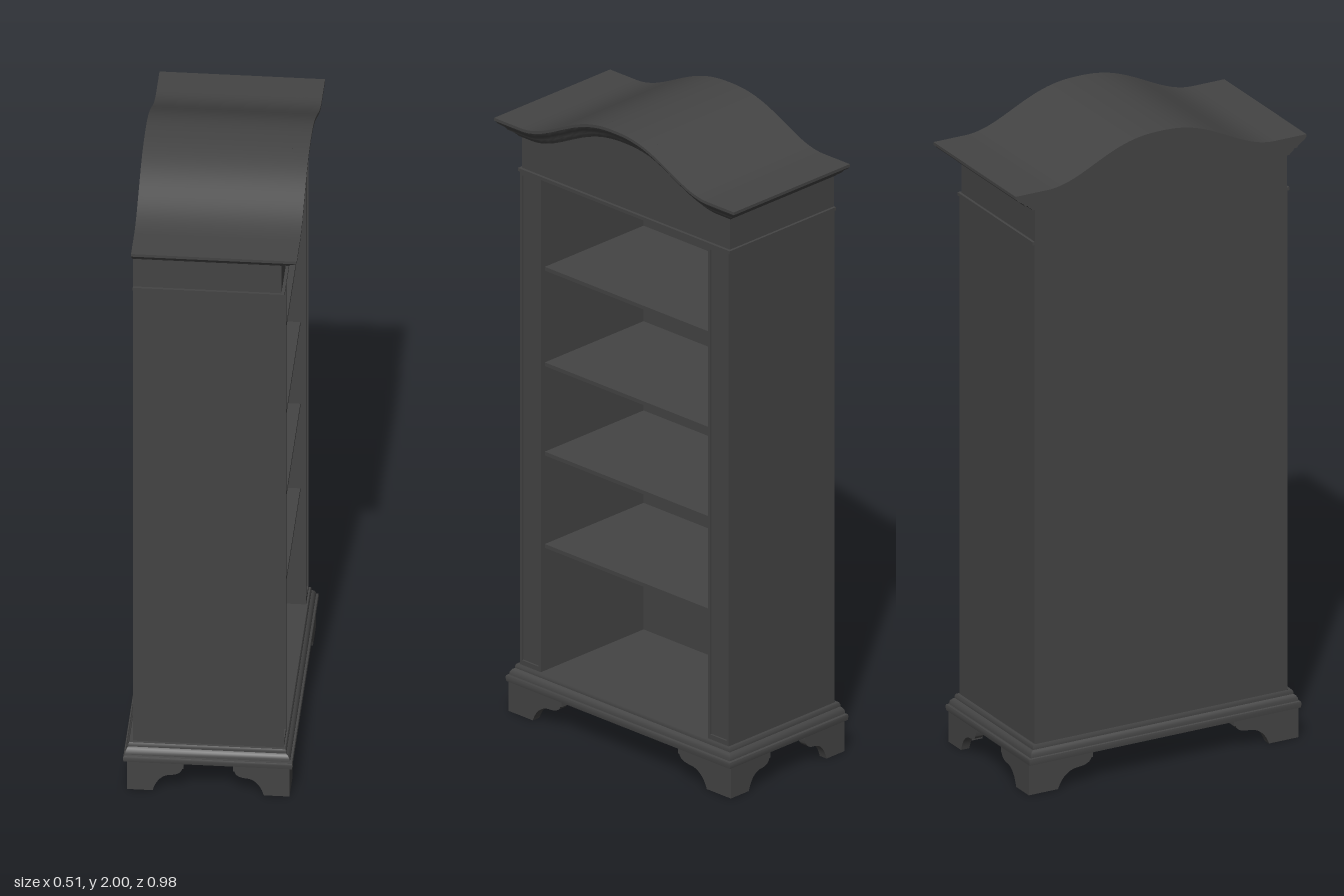
import * as THREE from 'three';
import { toCreasedNormals } from 'three/addons/utils/BufferGeometryUtils.js';

const BACK = -0.23, FRONT = 0.212, HALF = 0.425, OPEN = 0.34;
const FLOOR = 0.152, CEILING = 1.73, FRIEZE = 0.205;

export function createModel() {
  const model = new THREE.Group();
  const material = new THREE.MeshStandardMaterial({ color: 0x444444 });

  function add(name, geometry, parent = model) {
    const mesh = new THREE.Mesh(geometry, material);
    mesh.name = name;
    parent.add(mesh);
    return mesh;
  }

  // Box given by its limits on each axis
  function box(name, x0, x1, y0, y1, z0, z1, parent) {
    const g = new THREE.BoxGeometry(x1 - x0, y1 - y0, z1 - z0);
    g.translate((x0 + x1) / 2, (y0 + y1) / 2, (z0 + z1) / 2);
    return add(name, g, parent);
  }

  // Skin over a row of cross-sections, each an array of [x, y, z]
  function sweep(name, rows) {
    const pos = [];
    for (let i = 0; i < rows.length - 1; i++) {
      for (let j = 0; j < rows[i].length - 1; j++) {
        const a = rows[i][j], b = rows[i][j + 1], c = rows[i + 1][j], d = rows[i + 1][j + 1];
        pos.push(...a, ...b, ...c, ...b, ...d, ...c);
      }
    }
    const g = new THREE.BufferGeometry();
    g.setAttribute('position', new THREE.Float32BufferAttribute(pos, 3));
    g.computeVertexNormals();
    return add(name, toCreasedNormals(g, 0.5));
  }

  // Height of the arched top across the width
  function arch(z) {
    const t = Math.min(Math.abs(z) / 0.38, 1) ** 1.2;
    return 1.89 + 0.055 * (1 + Math.cos(Math.PI * t));
  }

  // Slab following the arch, from x0 to x1, with a given underside
  function archSlab(name, half, under, x0, x1) {
    const n = 64, top = [], bottom = [];
    for (let i = 0; i <= n; i++) {
      const z = half * (1 - 2 * i / n);
      top.push(new THREE.Vector2(z, arch(z)));
      bottom.unshift(new THREE.Vector2(z, under(z)));
    }
    const g = new THREE.ExtrudeGeometry(new THREE.Shape([...top, ...bottom]),
      { depth: x1 - x0, bevelEnabled: false });
    g.rotateY(Math.PI / 2).translate(x0, 0, 0);
    return add(name, toCreasedNormals(g, 0.5));
  }

  // Carcass
  box('backPanel', BACK, BACK + 0.012, FLOOR, CEILING, -OPEN, OPEN);
  box('floor', BACK, 0.208, 0.097, FLOOR, -HALF, HALF);
  for (const s of [1, -1]) {
    const side = new THREE.Group();
    side.name = s > 0 ? 'leftSide' : 'rightSide';
    model.add(side);
    const strip = (name, x0, x1, y0, y1, a, b) =>
      box(name, x0, x1, y0, y1, Math.min(s * a, s * b), Math.max(s * a, s * b), side);
    strip('sidePanel', BACK, FRONT - 0.006, FLOOR, CEILING, OPEN, HALF);
    // Raised border round the sunk panel of the stile
    const x0 = FRONT - 0.006, rim = 0.009;
    strip('stileRim', x0, FRONT, FLOOR, CEILING, OPEN, OPEN + rim);
    strip('stileRim', x0, FRONT, FLOOR, CEILING, HALF - rim, HALF);
    strip('stileRim', x0, FRONT, FLOOR, FLOOR + 0.015, OPEN + rim, HALF - rim);
    strip('stileRim', x0, FRONT, CEILING - 0.015, CEILING, OPEN + rim, HALF - rim);
  }

  // Shelves
  for (const y of [0.55, 0.845, 1.13, 1.435]) {
    box('shelf', BACK + 0.012, FRONT - 0.017, y - 0.006, y + 0.006, -OPEN, OPEN);
  }

  // Frieze with its bead, and the arched lid
  box('friezeBead', BACK, 0.214, CEILING - 0.005, CEILING + 0.005, -0.431, 0.431);
  archSlab('frieze', 0.423, () => CEILING, BACK, FRIEZE);
  archSlab('lid', 0.488, z => arch(z) - 0.009, BACK, 0.255);

  // Crown moulding: [outset, drop] swept along both sides and the arched front
  const crown = [[0.049, 0.008], [0.045, 0.016], [0.036, 0.023], [0.029, 0.03],
    [0.026, 0.036], [0.019, 0.036], [0.016, 0.043], [0.009, 0.049], [0.006, 0.054], [0, 0.054]];
  const reach = o => 0.423 + o * 1.3;
  const end = (s, k) => crown.map(([o, d]) => [BACK, arch(0.5) - d, s * reach(o * k)]);
  const rows = [end(1, 0), end(1, 1)];
  for (let i = 0; i <= 64; i++) {
    rows.push(crown.map(([o, d]) => {
      const z = reach(o) * (1 - i / 32);
      return [FRIEZE + o, arch(z) - d, z];
    }));
  }
  rows.push(end(-1, 1), end(-1, 0));
  sweep('crownMoulding', rows);

  // Base moulding: [outset, height] swept round all four sides
  const base = [[0, 0.152], [0.009, 0.152], [0.012, 0.146], [0.012, 0.139], [0.018, 0.135],
    [0.023, 0.127], [0.024, 0.118], [0.03, 0.116], [0.032, 0.11], [0.03, 0.097], [0, 0.097]];
  const corners = [[-1, 1], [1, 1], [1, -1], [-1, -1], [-1, 1]];
  sweep('baseMoulding', corners.map(([sx, sz]) => base.map(([o, y]) =>
    [sx > 0 ? 0.208 + o : BACK - 0.004 - o * 0.7, y, sz * (HALF + o)])));

  // Bracket feet: two shaped boards meeting at each corner
  function bracket(length) {
    const k = length / 0.215, shape = new THREE.Shape();
    shape.moveTo(0, 0);
    shape.lineTo(0.098 * k, 0);
    shape.bezierCurveTo(0.11 * k, 0.035, 0.135 * k, 0.055, 0.165 * k, 0.056);
    shape.quadraticCurveTo(0.205 * k, 0.058, 0.21 * k, 0.078);
    shape.lineTo(0.215 * k, 0.078);
    shape.lineTo(0.215 * k, 0.098);
    shape.lineTo(0, 0.098);
    return new THREE.ExtrudeGeometry(shape, { depth: 0.028, bevelEnabled: false, curveSegments: 10 });
  }
  const alongX = toCreasedNormals(bracket(0.165), 0.5);
  const alongZ = toCreasedNormals(bracket(0.215).rotateY(-Math.PI / 2).translate(0.028, 0, 0), 0.5);
  for (const sx of [1, -1]) {
    for (const sz of [1, -1]) {
      const foot = new THREE.Group();
      foot.name = (sx > 0 ? 'front' : 'back') + (sz > 0 ? 'Left' : 'Right') + 'Foot';
      foot.position.set(sx > 0 ? 0.231 : -0.245, 0, sz * 0.452);
      foot.scale.set(-sx, 1, -sz);
      add('sideBracket', alongX, foot);
      add('faceBracket', alongZ, foot);
      model.add(foot);
    }
  }
  return model;
}
